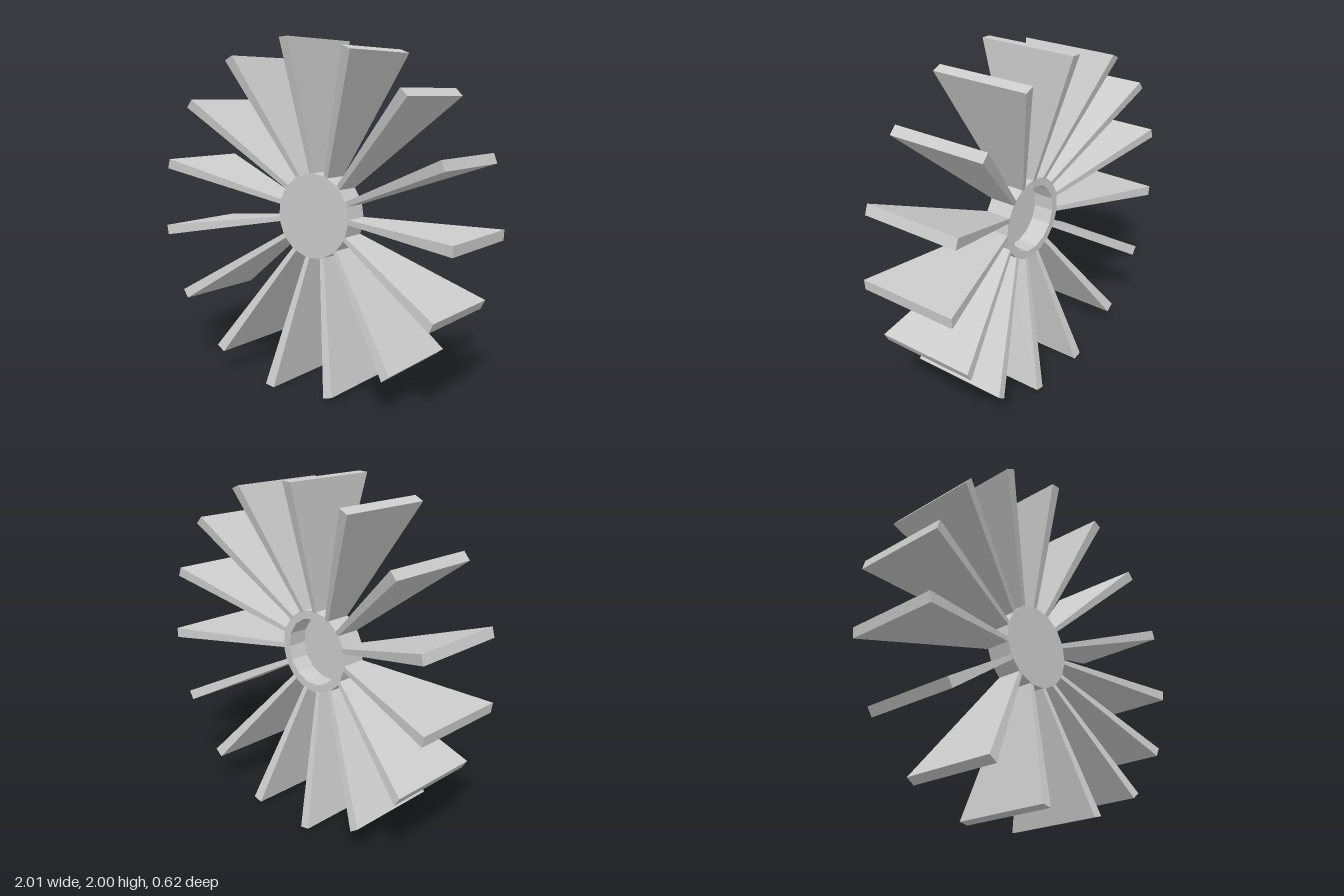
import * as THREE from 'three';

const BLADES = 15;
const STEP = (Math.PI * 2) / BLADES;
const FIRST = THREE.MathUtils.degToRad(92.6);
const HUB_R = 0.25, BORE_R = 0.2, FRONT = 0.095, BACK = -0.06;

// Regular polygon whose corners line up with the blades
function polygon(Type, r) {
  const pts = [];
  for (let i = 0; i < BLADES; i++) {
    const a = FIRST + i * STEP;
    pts.push(new THREE.Vector2(r * Math.cos(a), r * Math.sin(a)));
  }
  return new Type(pts);
}

// Blade along +x, flaring in both thickness (y) and width (z) toward the tip
function bladeGeometry(r0, r1) {
  const geo = new THREE.BoxGeometry(r1 - r0, 1, 1);
  geo.translate((r0 + r1) / 2, 0, 0);
  const p = geo.attributes.position;
  for (let i = 0; i < p.count; i++) {
    const tip = p.getX(i) > (r0 + r1) / 2;
    const y = Math.sign(p.getY(i)) * (tip ? 0.03 : 0.014);
    const front = p.getZ(i) > 0;
    const z = front ? (tip ? 0.295 : FRONT - 0.005) : (tip ? -0.295 : BACK);
    p.setXYZ(i, p.getX(i), y, z);
  }
  geo.computeVertexNormals();
  return geo;
}

export function createModel() {
  const model = new THREE.Group();
  model.name = 'paddleWheel';
  const wheel = new THREE.Group();
  wheel.name = 'wheel';
  model.add(wheel);
  const mat = new THREE.MeshStandardMaterial({ color: 0xcccccc, flatShading: true });

  const add = (geo, name) => {
    const mesh = new THREE.Mesh(geo, mat);
    mesh.name = name;
    wheel.add(mesh);
    return mesh;
  };

  // Hub: a rim open at the back, closed by a thin front plate
  const plateDepth = 0.03;
  const rim = polygon(THREE.Shape, HUB_R);
  rim.holes.push(polygon(THREE.Path, BORE_R));
  add(new THREE.ExtrudeGeometry(rim, { depth: FRONT - plateDepth - BACK, bevelEnabled: false }), 'hubRim')
    .position.z = BACK;
  add(new THREE.ExtrudeGeometry(polygon(THREE.Shape, HUB_R), { depth: plateDepth, bevelEnabled: false }), 'hubPlate')
    .position.z = FRONT - plateDepth;

  // Radial blades
  const blade = bladeGeometry(HUB_R - 0.01, 1.003);
  for (let i = 0; i < BLADES; i++) {
    add(blade, 'blade' + (i + 1)).rotation.z = FIRST + i * STEP;
  }

  // Slight yaw of the whole wheel
  wheel.rotation.y = -0.013;
  wheel.position.set(-0.004, 0.996, 0);
  return model;
}
